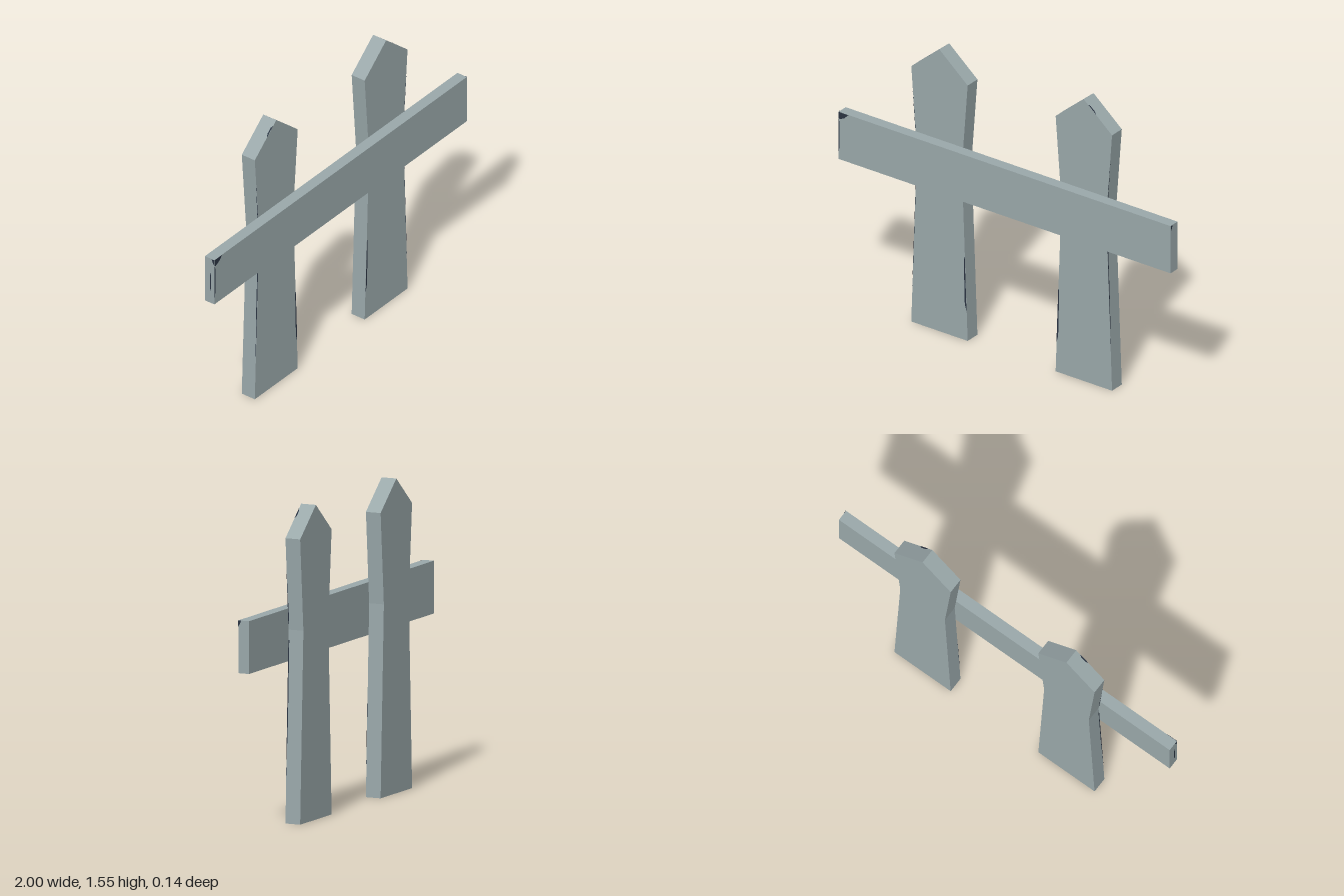
import * as THREE from 'three';

export function createModel() {
  const wood = new THREE.MeshStandardMaterial({ color: 0x9aa8aa });
  wood.name = 'weathered grey wood';
  const dark = new THREE.MeshStandardMaterial({ color: 0x2b3442, side: THREE.DoubleSide });
  dark.name = 'dark worn wood';

  const fence = new THREE.Group();
  fence.name = 'fence';
  const add = (name, geometry, material) => {
    const mesh = new THREE.Mesh(geometry, material);
    mesh.name = name;
    fence.add(mesh);
    return mesh;
  };

  // Flat worn patch: convex polygon drawn as a fan
  const patch = (name, points) => {
    const fan = [];
    for (let i = 1; i < points.length - 1; i++) fan.push(...points[0], ...points[i], ...points[i + 1]);
    const g = new THREE.BufferGeometry();
    g.setAttribute('position', new THREE.Float32BufferAttribute(fan, 3));
    g.computeVertexNormals();
    add(name, g, dark);
  };

  const centre = 0.435, wide = 0.17, narrow = 0.135;
  const waist = 0.95, shoulder = 1.405, peak = 1.55;
  const front = 0.01, back = -0.07, lift = 0.0015;
  const halfWidth = (y) => y < waist
    ? THREE.MathUtils.lerp(wide, narrow, y / waist)
    : THREE.MathUtils.lerp(narrow, wide, (y - waist) / (shoulder - waist));

  // Pointed pickets with a pinched waist
  const outline = new THREE.Shape([
    [-wide, 0], [wide, 0], [narrow, waist], [wide, shoulder],
    [0, peak], [-wide, shoulder], [-narrow, waist],
  ].map(([x, y]) => new THREE.Vector2(x, y)));
  const picketGeometry = new THREE.ExtrudeGeometry(outline, { depth: front - back, bevelEnabled: false });

  for (const s of [-1, 1]) {
    const side = s < 0 ? 'right' : 'left';
    add(side + 'Picket', picketGeometry, wood).position.set(s * centre, 0, back);

    // Worn streaks on the outer edge, on the inner front edge and on the tip
    const outer = (y, z) => [s * (centre + halfWidth(y) + lift), y, z];
    patch(side + 'LowerEdgeWear', [outer(0.19, front), outer(0.9, front), outer(0.9, 0.005), outer(0.5, 0.005)]);
    patch(side + 'UpperEdgeWear', [outer(0.96, front), outer(1.28, front), outer(1.0, 0.005)]);
    const inner = (y, inset) => [s * (centre - halfWidth(y) + inset), y, front + lift];
    patch(side + 'FrontWear', [inner(0.16, 0), inner(0.46, 0), inner(0.45, 0.006), inner(0.2, 0.009)]);
    const slope = (d, z) => [s * (centre + d), peak - (peak - shoulder) * d / wide + lift, z];
    patch(side + 'TipWear', [slope(0.025, front), slope(0.035, 0.003), slope(0.06, 0.003), slope(0.075, front)]);
  }

  // Horizontal rail across the front of the pickets
  const railTop = 1.055, railBottom = 0.795, railFront = 0.068;
  add('rail', new THREE.BoxGeometry(2, railTop - railBottom, railFront - front), wood)
    .position.set(0, (railTop + railBottom) / 2, (railFront + front) / 2);

  // Worn corner and edges of the rail
  const zf = railFront + lift;
  patch('railCornerWear', [[-1, railTop, zf], [-0.94, railTop, zf], [-0.965, 1.03, zf], [-0.99, 1.018, zf], [-1, 1.02, zf]]);
  patch('railEdgeWear', [[-1, 1.02, zf], [-0.993, 1.0, zf], [-0.994, 0.86, zf], [-1, 0.83, zf]]);
  for (const x of [-1 - lift, 1 + lift]) {
    patch('railEndCornerWear', [[x, railTop, railFront], [x, railTop, 0.052], [x, 1.035, 0.06], [x, 1.025, railFront]]);
  }
  patch('railEndWear', [[-1 - lift, 0.98, 0.05], [-1 - lift, 0.86, 0.05], [-1 - lift, 0.88, 0.043], [-1 - lift, 0.96, 0.043]]);

  return fence;
}
